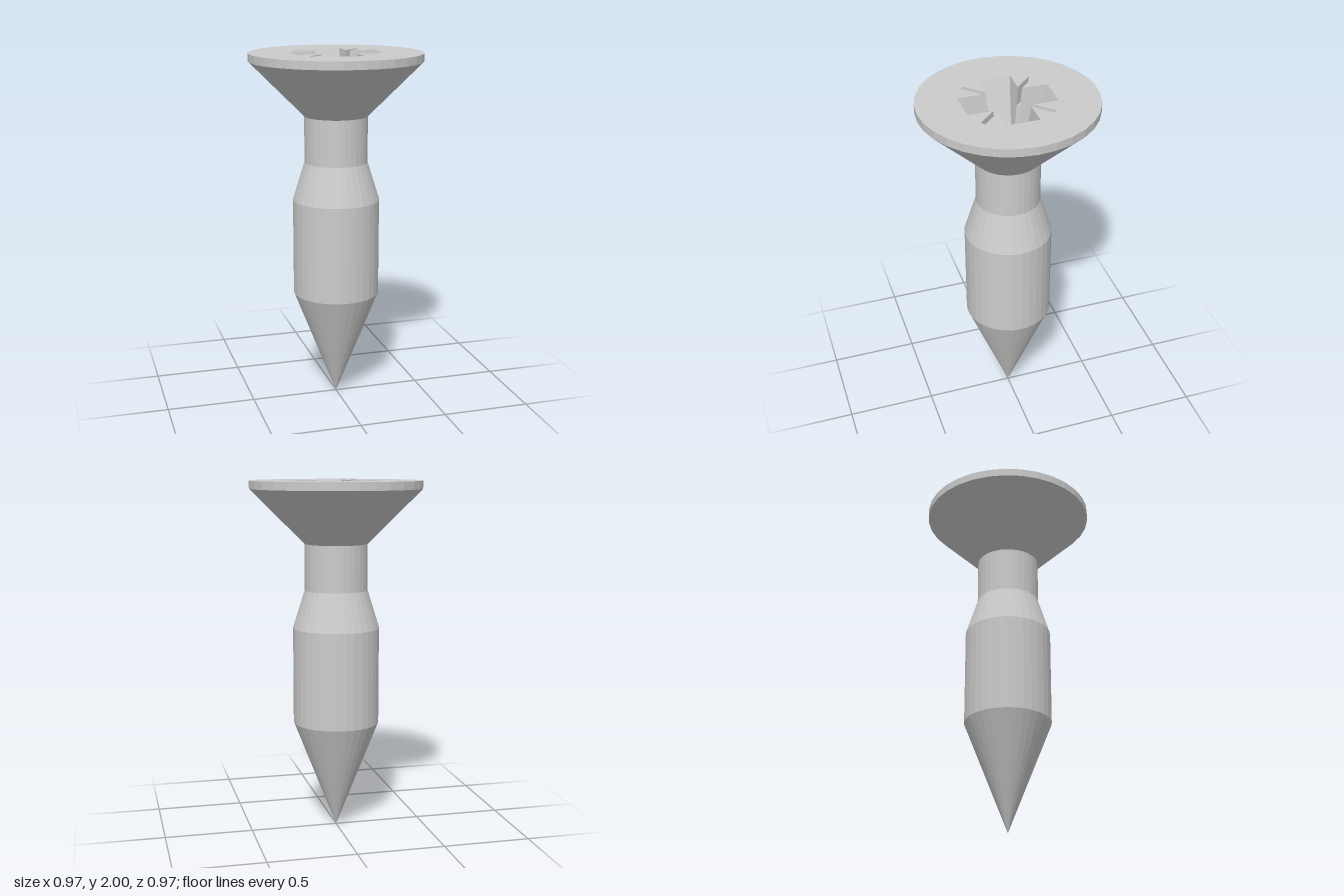
import * as THREE from 'three';

const SIDES = 32;
const TOP = 2, SLOT_Y = 1.9, FLOOR_Y = 1.7, PIT_Y = 1.66;
const PIT_R = 0.102;

// Repeats one quadrant of the recess outline four times around the axis
function ring(quadrant) {
  const pts = [];
  for (let k = 0; k < 4; k++) {
    const centre = new THREE.Vector2();
    for (const [x, y] of quadrant) pts.push(new THREE.Vector2(x, y).rotateAround(centre, k * Math.PI / 2));
  }
  return pts;
}

// Inward-facing walls between an upper and a lower outline
function walls(upper, yUpper, lower, yLower) {
  const pos = [];
  const put = (p, y) => pos.push(p.x, y, -p.y);
  upper.forEach((a, i) => {
    const j = (i + 1) % upper.length;
    put(lower[i], yLower); put(upper[j], yUpper); put(lower[j], yLower);
    put(lower[i], yLower); put(a, yUpper); put(upper[j], yUpper);
  });
  const g = new THREE.BufferGeometry();
  g.setAttribute('position', new THREE.Float32BufferAttribute(pos, 3));
  g.computeVertexNormals();
  return g;
}

// Horizontal face with an optional hole, facing up
function flatFace(outline, y, hole) {
  const shape = new THREE.Shape(outline);
  if (hole) shape.holes.push(new THREE.Path(hole));
  return new THREE.ShapeGeometry(shape).rotateX(-Math.PI / 2).translate(0, y, 0);
}

function circle(r) {
  return Array.from({ length: SIDES }, (_, i) => {
    const a = i / SIDES * Math.PI * 2;
    return new THREE.Vector2(r * Math.cos(a), r * Math.sin(a));
  });
}

export function createModel() {
  const group = new THREE.Group();
  const material = new THREE.MeshStandardMaterial({ color: 0xcccccc, flatShading: true });
  const add = (name, geometry) => {
    const mesh = new THREE.Mesh(geometry, material);
    mesh.name = name;
    group.add(mesh);
  };

  // Point, shank, neck and countersunk head in one turned profile
  const profile = [[0, 0], [0.245, 0.625], [0.245, 1.175], [0.178, 1.39], [0.178, 1.65], [0.484, 1.955], [0.484, TOP]];
  add('body', new THREE.LatheGeometry(profile.map(([x, y]) => new THREE.Vector2(x, y)), SIDES));

  // Recess outlines: an arm end, then a diagonal slot
  const rim = ring([[0.245, -0.09], [0.245, 0.09], [0.108, 0.09], [0.202, 0.184], [0.184, 0.202], [0.09, 0.108]]);
  const slotLevel = ring([[0.205, -0.08], [0.205, 0.08], [0.094, 0.08], [0.172, 0.158], [0.158, 0.172], [0.08, 0.094]]);
  const crossLevel = slotLevel.filter((_, i) => i % 6 !== 3 && i % 6 !== 4);
  const bottom = ring([[0.125, -0.06], [0.125, 0.06], [0.085, 0.06], [0.06, 0.085]]);

  add('headTop', flatFace(circle(0.484), TOP, rim));
  add('upperRecessWalls', walls(rim, TOP, slotLevel, SLOT_Y));
  add('lowerRecessWalls', walls(crossLevel, SLOT_Y, bottom, FLOOR_Y));
  for (let k = 0; k < 4; k++) add('slotFloor', flatFace(slotLevel.slice(k * 6 + 2, k * 6 + 6), SLOT_Y));
  add('recessFloor', flatFace(bottom, FLOOR_Y, circle(PIT_R)));

  // Shallow conical pit at the centre of the recess
  add('centrePit', walls(circle(PIT_R), FLOOR_Y, circle(0.0005), PIT_Y));

  return group;
}
